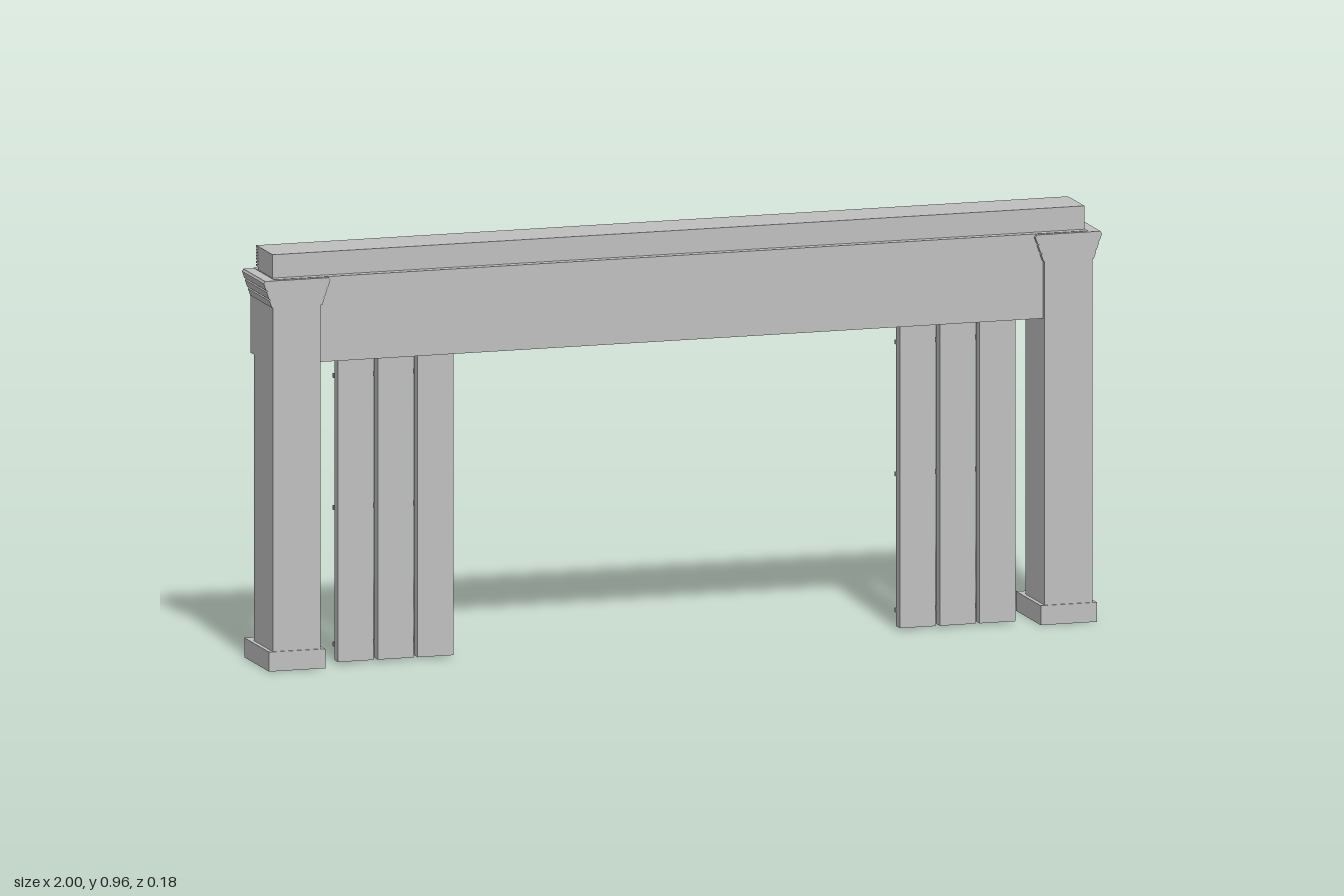
import * as THREE from 'three';

export function createModel() {
  const model = new THREE.Group();
  const stone = new THREE.MeshStandardMaterial({ color: 0xbfbfbf });
  stone.name = 'grey stone';

  const add = (parent, name, geometry) => {
    const mesh = new THREE.Mesh(geometry, stone);
    mesh.name = name;
    parent.add(mesh);
    return mesh;
  };
  // Box given by its limits on each axis
  const box = (parent, name, x0, x1, y0, y1, z0, z1) => {
    const mesh = add(parent, name, new THREE.BoxGeometry(x1 - x0, y1 - y0, z1 - z0));
    mesh.position.set((x0 + x1) / 2, (y0 + y1) / 2, (z0 + z1) / 2);
    return mesh;
  };
  const group = (name, x = 0) => {
    const g = new THREE.Group();
    g.name = name;
    g.position.x = x;
    model.add(g);
    return g;
  };
  const extrude = (points, depth) => new THREE.ExtrudeGeometry(
    new THREE.Shape(points.map(p => new THREE.Vector2(...p))), { depth, bevelEnabled: false });

  // Stepped capital: three flaring bands, mirrored about its centre
  const half = [];
  for (let i = 0; i < 3; i++) {
    const y = 0.84 + i * 0.0205, w = 0.06 + i * 0.007;
    half.push([w, y], [w + 0.0055, y + 0.016], [w + 0.003, y + 0.018]);
  }
  half.push([0.076, 0.902]);
  const capitalProfile = [...half, ...half.map(([x, y]) => [-x, y]).reverse()];

  // Slat plan (x, depth) with its rear long edges chamfered
  const slatPlan = [[-0.0425, -0.055], [0.0425, -0.055], [0.0425, -0.027],
    [0.036, -0.02], [-0.036, -0.02], [-0.0425, -0.027]];

  for (const side of [-1, 1]) {
    const label = side < 0 ? 'right' : 'left';

    // Pillar with plinth, capital and fluted rear face
    const pillar = group(label + 'Pillar', side * 0.92 - 0.002);
    box(pillar, 'plinth', -0.067, 0.067, 0, 0.045, -0.091, 0.093);
    box(pillar, 'shaft', -0.057, 0.057, 0.045, 0.9, -0.051, 0.09);
    add(pillar, 'capital', extrude(capitalProfile, 0.162)).position.z = -0.07;
    for (let i = 0; i < 6; i++) {
      const x = -0.047 + i * 0.0188;
      box(pillar, 'flute', x - 0.006, x + 0.006, 0.05, 0.71, -0.058, -0.05);
    }

    // Three hanging slats with rear rails and handles
    const shutter = group(label + 'Shutter', side * 0.67 - 0.005);
    for (let i = -1; i <= 1; i++) {
      const x = i * 0.095;
      const slat = add(shutter, 'slat', extrude(slatPlan, 0.7));
      slat.rotation.x = -Math.PI / 2;
      slat.position.set(x, 0.005, 0);
      for (const y of [0.04, 0.355, 0.66])
        box(shutter, 'rail', x - 0.0425, x + 0.0425, y - 0.005, y + 0.005, 0.014, 0.022);
      box(shutter, 'handle', x - 0.007, x + 0.007, 0.312, 0.398, 0.006, 0.021);
    }
  }

  // Lintel between the pillars
  const lintel = group('lintel', -0.003);
  box(lintel, 'beam', -0.87, 0.87, 0.706, 0.9, -0.053, 0.08);
  box(lintel, 'ledge', -0.97, 0.97, 0.896, 0.903, -0.074, 0.083);
  box(lintel, 'topBlock', -0.968, 0.968, 0.9, 0.957, -0.045, 0.063);

  // Rear facing, in slabs with narrow joints
  const joints = [-0.977, -0.685, -0.225, 0.225, 0.685, 0.977];
  for (let i = 0; i < 5; i++)
    box(lintel, 'rearSlab', joints[i] + 0.001, joints[i + 1] - 0.001, 0.706, 0.9, -0.077, -0.051);

  // Ridged moulding behind the top block
  for (let i = 0; i < 7; i++) {
    const y = 0.909 + i * 0.0072;
    box(lintel, 'ridge', -0.968, 0.968, y, y + 0.0042, -0.061, -0.044);
  }
  return model;
}
